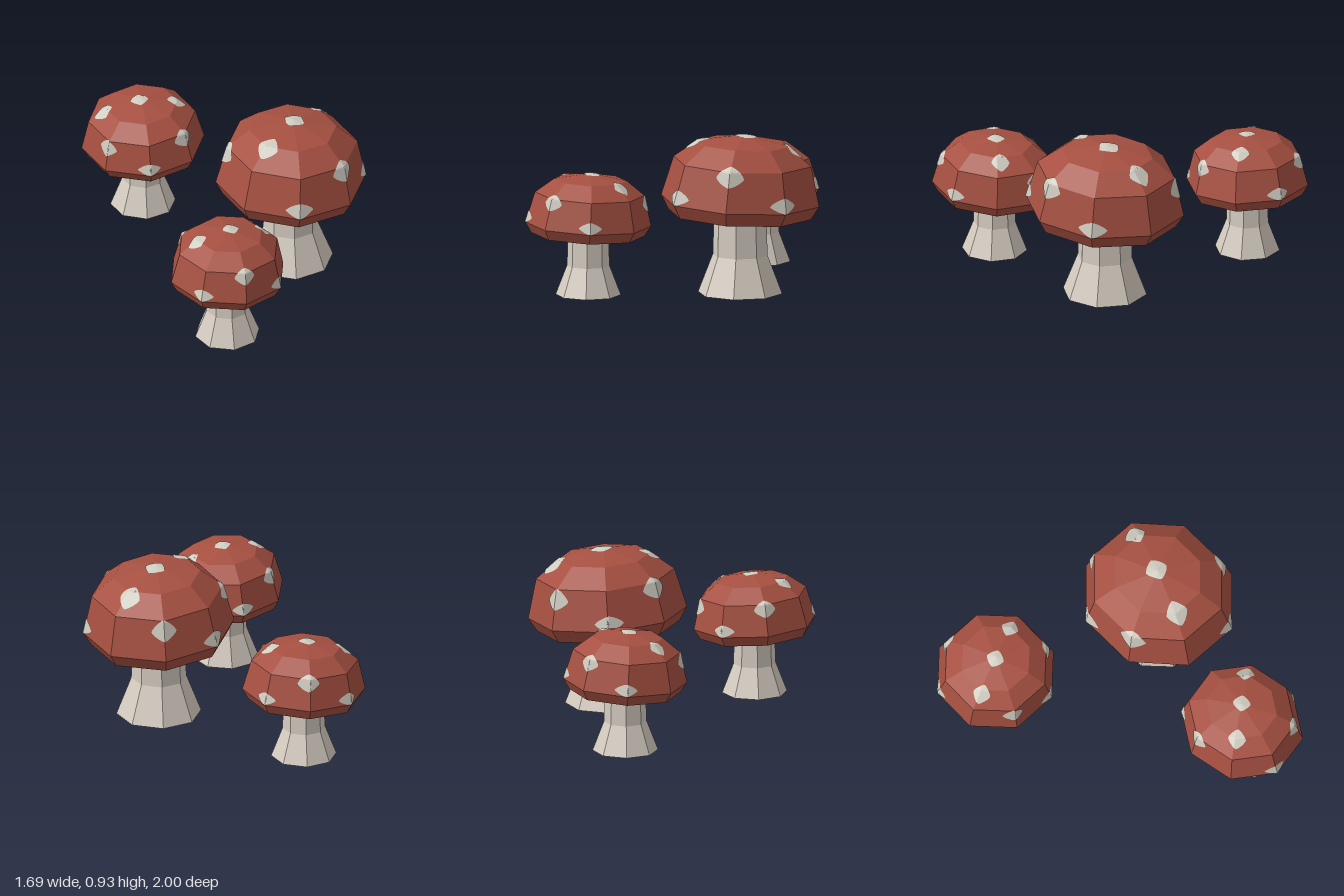
import * as THREE from 'three';

const rad = THREE.MathUtils.degToRad;
const SIDES = 8;

// Faceted lathe from [radius, height] pairs
function facetedLathe(profile, phase) {
  const pts = profile.map(([r, y]) => new THREE.Vector2(r, y));
  const geo = new THREE.LatheGeometry(pts, SIDES, rad(phase)).toNonIndexed();
  geo.computeVertexNormals();
  return geo;
}

// Distance-free projection of a point onto a dome, along the ray from its centre
function projectToDome(dome, point) {
  const pos = dome.attributes.position;
  const ray = new THREE.Ray(new THREE.Vector3(), point.clone().normalize());
  const [a, b, c] = [0, 1, 2].map(() => new THREE.Vector3());
  const hit = new THREE.Vector3();
  let best = null;
  for (let i = 0; i < pos.count; i += 3) {
    a.fromBufferAttribute(pos, i);
    b.fromBufferAttribute(pos, i + 1);
    c.fromBufferAttribute(pos, i + 2);
    if (ray.intersectTriangle(a, b, c, false, hit) && (!best || hit.length() > best.length())) best = hit.clone();
  }
  return (best || point.clone()).addScaledVector(ray.direction, 0.01);
}

// Thin rounded-diamond patch that hugs the dome facets
function spotGeometry(dome, angle, r, h, halfW, halfH) {
  const t = rad(angle);
  const aim = projectToDome(dome, new THREE.Vector3(r * Math.cos(t), h, r * Math.sin(t)));
  const across = new THREE.Vector3(Math.sin(t), 0, -Math.cos(t));
  const up = aim.clone().normalize().cross(across).normalize();
  const rings = 5, segs = 24, verts = [];
  const at = (ring, seg) => {
    const p = (seg / segs) * Math.PI * 2, cu = Math.cos(p), cv = Math.sin(p);
    const k = ring / rings / Math.pow(Math.abs(cu) ** 1.3 + Math.abs(cv) ** 1.3, 1 / 1.3);
    const q = aim.clone().addScaledVector(across, cu * k * halfW).addScaledVector(up, cv * k * halfH);
    return projectToDome(dome, q);
  };
  for (let i = 0; i < rings; i++) {
    for (let j = 0; j < segs; j++) {
      const a = at(i, j), b = at(i + 1, j), c = at(i + 1, j + 1), d = at(i, j + 1);
      verts.push(a, b, c);
      if (i > 0) verts.push(a, c, d);
    }
  }
  const geo = new THREE.BufferGeometry().setFromPoints(verts);
  geo.computeVertexNormals();
  return geo;
}

// Spots: angle, radius, height above the widest ring, half width, half height
const SPOTS = [
  [0, 0.03, 0.84, 0.15, 0.15],
  [0, 0.63, 0.68, 0.15, 0.17],
  [182, 0.57, 0.71, 0.15, 0.17],
  [95, 0.88, 0.45, 0.19, 0.15],
  [230, 0.88, 0.44, 0.19, 0.15],
  [320, 0.91, 0.38, 0.18, 0.14],
  [50, 0.97, 0.1, 0.2, 0.1],
  [140, 0.97, 0.1, 0.2, 0.1],
  [274, 0.97, 0.1, 0.2, 0.1],
];

function makeMushroom(o, mats) {
  const g = new THREE.Group();
  g.name = o.name;

  // Flared stem, open at the foot
  const stem = new THREE.Mesh(
    facetedLathe([[0.53, 0], [0.345, 0.48], [0.325, 1.14]], o.stemPhase), mats.stem);
  stem.name = 'stem';
  g.add(stem);

  // Tilted cap, pivoting on its widest ring
  const cap = new THREE.Group();
  cap.name = 'cap';
  cap.position.y = 1.16;
  cap.rotation.set(o.tilt[0], 0, o.tilt[1]);
  cap.scale.set(o.spread[0], 1, o.spread[1]);
  const domeGeo = facetedLathe(
    [[0.9, -0.17], [1, 0], [0.87, 0.5], [0.58, 0.73], [0, 0.84]], o.capPhase);
  const dome = new THREE.Mesh(domeGeo, mats.cap);
  dome.name = 'capDome';
  const gills = new THREE.Mesh(facetedLathe([[0.28, -0.03], [0.9, -0.17]], o.capPhase), mats.stem);
  gills.name = 'gills';
  cap.add(dome, gills);

  // Pale spots
  for (const [angle, ...rest] of SPOTS) {
    const spot = new THREE.Mesh(spotGeometry(domeGeo, angle + o.spotTurn, ...rest), mats.spot);
    spot.name = 'spot';
    cap.add(spot);
  }
  g.add(cap);
  g.scale.setScalar(o.scale);
  g.position.set(o.x, 0, o.z);
  return g;
}

export function createModel() {
  const material = (name, color, side = THREE.FrontSide) => {
    const m = new THREE.MeshStandardMaterial({ color, side });
    m.name = name;
    return m;
  };
  const mats = {
    cap: material('cap red', 0xa65041),
    stem: material('stem cream', 0xd6cdc2, THREE.DoubleSide),
    spot: material('spot pale grey', 0xcfccc1, THREE.DoubleSide),
  };
  const model = new THREE.Group();
  model.name = 'mushroomCluster';
  const mushrooms = [
    { name: 'largeMushroom', x: 0.425, z: -0.19, scale: 0.465, spread: [0.94, 1.01],
      capPhase: 15, stemPhase: 15, spotTurn: -65, tilt: [-0.05, -0.03] },
    { name: 'backMushroom', x: -0.495, z: -0.655, scale: 0.358, spread: [1, 1],
      capPhase: 15, stemPhase: 15, spotTurn: 162, tilt: [0.035, 0.03] },
    { name: 'frontMushroom', x: 0.163, z: 0.65, scale: 0.357, spread: [0.96, 1.03],
      capPhase: 27, stemPhase: 20, spotTurn: -32, tilt: [-0.04, -0.03] },
  ];
  for (const o of mushrooms) model.add(makeMushroom(o, mats));
  return model;
}
